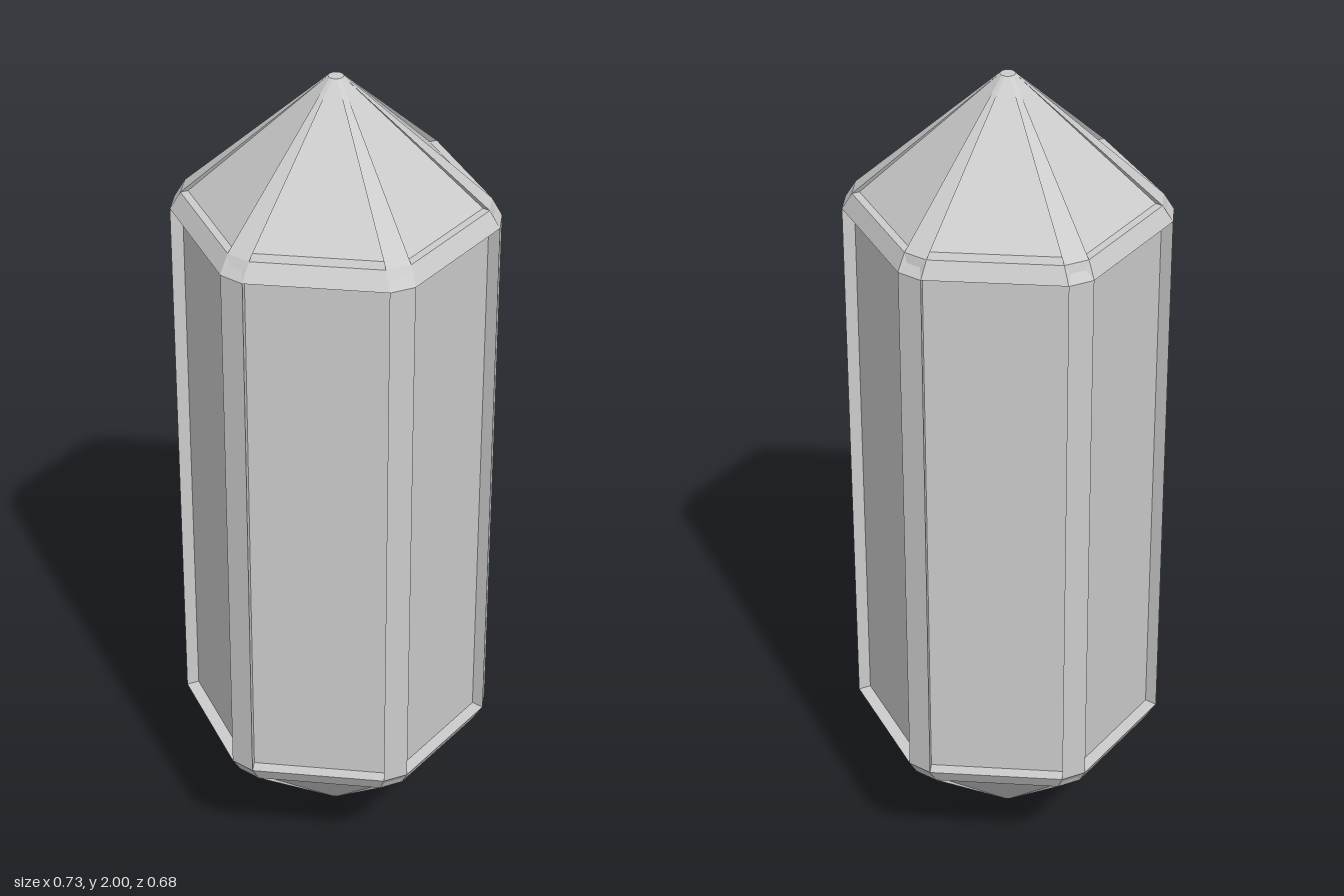
import * as THREE from 'three';

const SIDES = 6;
const STEP = (Math.PI * 2) / SIDES;
const DEPTH = 1.02; // the hexagon is slightly deeper than regular

// Point near corner k of the hexagon: r outwards, w sideways along the rim
function cornerPoint(k, r, w, y, dz = 0) {
  const a = k * STEP;
  return [r * Math.cos(a) - w * Math.sin(a), y, (r * Math.sin(a) + w * Math.cos(a)) * DEPTH + dz];
}

// Moves a point inwards, square to side k of the hexagon
function inset([x, y, z], k, d) {
  const a = (k + 0.5) * STEP;
  return [x - d * Math.cos(a), y, z - d * Math.sin(a)];
}

// Collects flat polygons and turns them into a faceted mesh
function facets(name, flip, build) {
  const pos = [];
  const face = (...p) => {
    for (let i = 1; i < p.length - 1; i++) {
      const t = flip ? [p[0], p[i + 1], p[i]] : [p[0], p[i], p[i + 1]];
      pos.push(...t.flat());
    }
  };
  build(face);
  const geo = new THREE.BufferGeometry();
  geo.setAttribute('position', new THREE.Float32BufferAttribute(pos, 3));
  geo.computeVertexNormals();
  const mesh = new THREE.Mesh(geo, new THREE.MeshStandardMaterial({ color: 0xcccccc, flatShading: true }));
  mesh.name = name;
  return mesh;
}

const BODY_R = 0.366, BODY_W = 0.03;

// Six sunken long panels between raised corner strips
function shaft(yLow, yHigh, sunk) {
  return facets('shaft', false, (face) => {
    for (let k = 0; k < SIDES; k++) {
      const p = (j, s, y) => cornerPoint(j, BODY_R, s * BODY_W, y);
      // corner strip
      face(p(k, 1, yLow), p(k, -1, yLow), p(k, -1, yHigh), p(k, 1, yHigh));
      // panel and the four walls around it
      const frame = [p(k + 1, -1, yLow), p(k, 1, yLow), p(k, 1, yHigh), p(k + 1, -1, yHigh)];
      const panel = frame.map((q) => inset(q, k, sunk));
      face(...panel);
      for (let i = 0; i < 4; i++) {
        const j = (i + 1) % 4;
        face(frame[i], frame[j], panel[j], panel[i]);
      }
    }
  });
}

// Pointed end: bevelled rim, ledge, ridges and facets sunk between them
function point(name, yBody, yRim, yTip, dz, sunkSides, sunkFrontBack) {
  return facets(name, yTip < yBody, (face) => {
    const yMid = yBody + (yRim - yBody) * 0.5;
    const body = (k, s) => cornerPoint(k, BODY_R, s * BODY_W, yBody);
    const mid = (k, s) => cornerPoint(k, 0.351, s * 0.018, yMid);
    const rim = (k, s) => cornerPoint(k, 0.342, s * 0.029, yRim, dz);
    const tip = (k, s) => cornerPoint(k, 0.017, s * 0.004, yTip, dz);
    const centre = [0, yTip, dz];
    for (let k = 0; k < SIDES; k++) {
      const n = k + 1;
      const sunk = k % 3 === 1 ? sunkFrontBack : sunkSides;
      const foot0 = inset(rim(k, 1), k, sunk);
      const foot1 = inset(rim(n, -1), k, sunk);
      // notched corner of the rim
      face(body(k, 1), body(k, -1), mid(k, -1), mid(k, 1));
      face(mid(k, 1), mid(k, -1), rim(k, -1), rim(k, 1));
      face(mid(k, -1), body(k, -1), rim(k, -1));
      face(body(k, 1), mid(k, 1), rim(k, 1));
      // rim bevel and ledge
      face(body(n, -1), body(k, 1), rim(k, 1), rim(n, -1));
      face(rim(n, -1), rim(k, 1), foot0, foot1);
      // sloping facet, ridge and the ridge's thin walls
      face(foot1, foot0, tip(k, 1), tip(n, -1));
      face(rim(k, 1), rim(k, -1), tip(k, -1), tip(k, 1));
      face(foot0, rim(k, 1), tip(k, 1));
      face(rim(n, -1), foot1, tip(n, -1));
      // blunt tip
      face(tip(k, 1), tip(k, -1), centre);
      face(tip(n, -1), tip(k, 1), centre);
    }
  });
}

export function createModel() {
  const crystal = new THREE.Group();
  crystal.name = 'crystal';
  crystal.add(
    shaft(0.335, 1.67, 0.03),
    point('upperPoint', 1.67, 1.71, 2, -0.004, 0.018, 0.036),
    point('lowerPoint', 0.335, 0.295, 0, 0, 0.012, 0.012)
  );
  return crystal;
}
